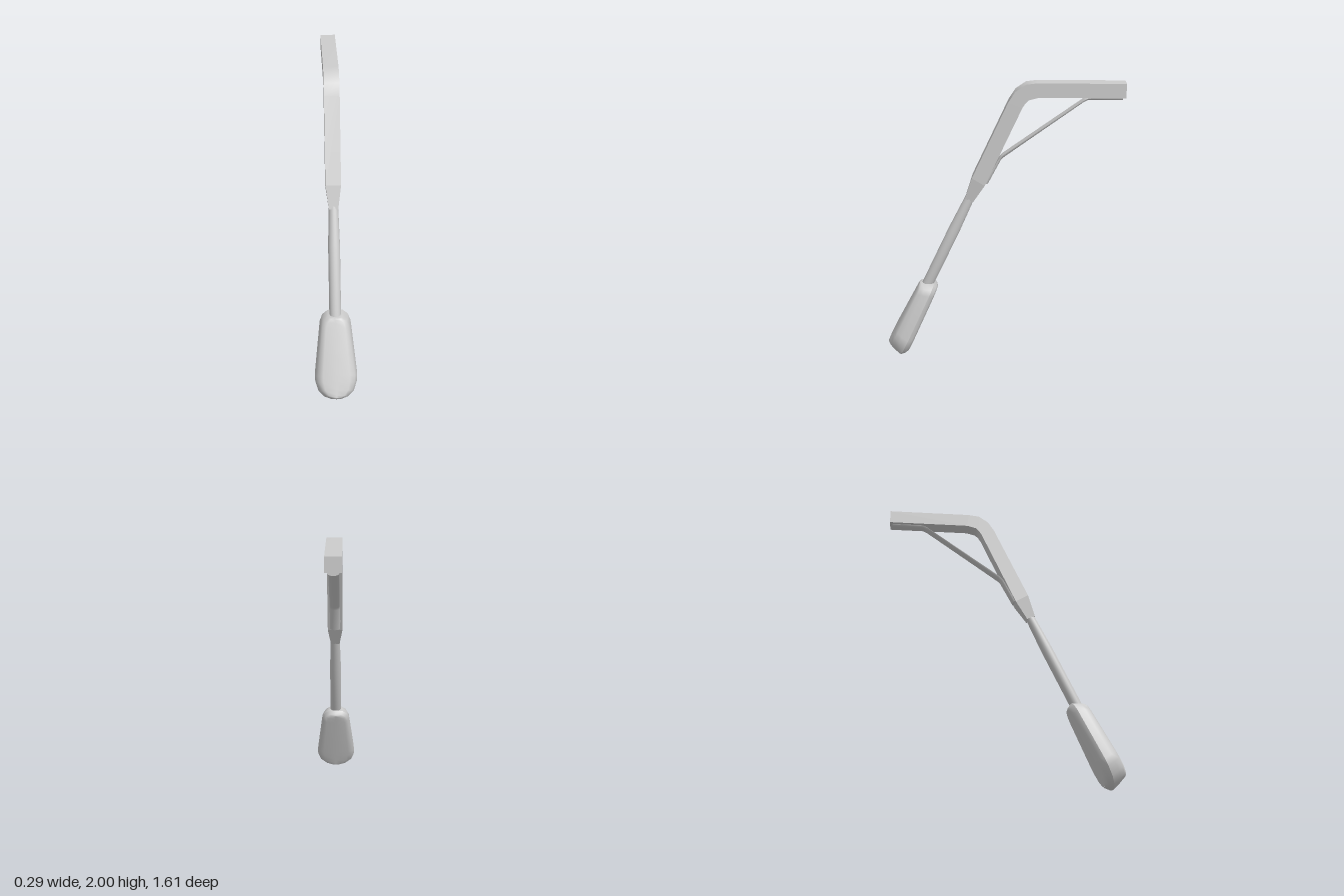
import * as THREE from 'three';
import { mergeVertices, mergeGeometries } from 'three/addons/utils/BufferGeometryUtils.js';

const grey = new THREE.MeshStandardMaterial({ color: 0xcccccc, side: THREE.DoubleSide });
grey.name = 'light grey metal';

// Smooth surface through rows of [x, y, z] points
function skin(rows) {
  const n = rows[0].length, index = [];
  for (let i = 0; i < rows.length - 1; i++) {
    for (let j = 0; j < n - 1; j++) {
      const a = i * n + j, b = a + 1, d = a + n, c = d + 1;
      index.push(a, b, c, a, c, d);
    }
  }
  let g = new THREE.BufferGeometry();
  g.setAttribute('position', new THREE.Float32BufferAttribute(rows.flat(2), 3));
  g.setIndex(index);
  g = mergeVertices(g, 1e-5);
  g.computeVertexNormals();
  return g;
}

function part(name, geometries) {
  const mesh = new THREE.Mesh(mergeGeometries(geometries), grey);
  mesh.name = name;
  return mesh;
}

// Rectangular beam; each station is [outer z, outer y, inner z, inner y, half width]
function beam(stations) {
  const rings = stations.map(([oz, oy, iz, iy, w]) =>
    [[w, oy, oz], [-w, oy, oz], [-w, iy, iz], [w, iy, iz]]);
  const sides = [0, 1, 2, 3].map(k => skin(rings.map(r => [r[k], r[(k + 1) % 4]])));
  const s = rings[0], e = rings[rings.length - 1];
  return [...sides, skin([[s[3], s[2]], [s[0], s[1]]]), skin([[e[0], e[1]], [e[3], e[2]]])];
}

// Half-round strap; each station is [top z, top y, bottom z, bottom y]
function strap(stations, w, steps = 10) {
  const flat = [], arc = [];
  for (const [tz, ty, bz, by] of stations) {
    const f = [], a = [];
    for (let j = 0; j <= steps; j++) {
      const t = Math.PI * j / steps, x = w * Math.cos(t), d = Math.sin(t);
      f.push([x, ty, tz]);
      a.push([x, ty + (by - ty) * d, tz + (bz - tz) * d]);
    }
    flat.push(f);
    arc.push(a);
  }
  const last = stations.length - 1;
  return [skin(flat), skin(arc.map(a => [...a].reverse())),
    skin([arc[0], flat[0]]), skin([flat[last], arc[last]])];
}

// Head outline, half of it: [x, distance down the axis]
const outline = [[0, -0.017], [0.05, -0.012], [0.085, 0.015], [0.103, 0.06], [0.125, 0.26],
  [0.143, 0.43], [0.14, 0.48], [0.12, 0.545], [0.08, 0.587], [0.035, 0.605], [0, 0.608]];

// One inset copy of the outline, sloping from depth n0 at the top to n1 at the bottom
function headRing(scale, u0, u1, n0, n1) {
  const place = side => ([x, u]) => {
    const t = (u + 0.017) / 0.625;
    return [side * x * scale, -(u0 + (u1 - u0) * t), n0 + (n1 - n0) * t];
  };
  return [...outline.map(place(-1)), ...outline.map(place(1)).reverse().slice(1)];
}

export function createModel() {
  const model = new THREE.Group();
  model.name = 'bentArmWithPaddle';

  // Bent square arm and its tapering end
  const neck = [0.183, 1.36, 0.098, 1.308, 0.05];
  model.add(part('arm', beam([
    [-0.803, 2, -0.803, 1.907, 0.05],
    [-0.24, 2, -0.25, 1.907, 0.05],
    [-0.167, 1.99, -0.188, 1.89, 0.05],
    [-0.1, 1.944, -0.165, 1.868, 0.05],
    [-0.056, 1.875, -0.146, 1.838, 0.05],
    neck,
  ])));
  model.add(part('armTaper', beam([neck, [0.232, 1.207, 0.178, 1.184, 0.03]])));

  // Diagonal brace under the bend
  model.add(part('brace', strap([
    [-0.785, 1.903, -0.785, 1.886],
    [-0.57, 1.903, -0.563, 1.886],
    [-0.535, 1.886, -0.53, 1.866],
    [-0.02, 1.515, -0.024, 1.494],
    [0.01, 1.483, -0.008, 1.476],
    [0.096, 1.32, 0.077, 1.312],
  ], 0.035)));

  // Rod and head share one tilted axis
  const lower = new THREE.Group();
  lower.name = 'lowerAssembly';
  lower.position.set(0, 0.57, 0.5);
  lower.rotation.x = -0.438;
  model.add(lower);

  const rodProfile = [[0, -0.03], [0.039, -0.03], [0.039, 0.45], [0.031, 0.71]]
    .map(([r, y]) => new THREE.Vector2(r, y));
  lower.add(part('rod', [new THREE.LatheGeometry(rodProfile, 20)]));

  const rim = headRing(1, -0.017, 0.608, -0.038, -0.042);
  lower.add(part('headFront', [skin([
    rim,
    headRing(0.96, 0.003, 0.588, 0.01, 0.015),
    headRing(0.85, 0.018, 0.57, 0.04, 0.055),
    headRing(0.62, 0.025, 0.562, 0.053, 0.073),
    headRing(0, 0.027, 0.56, 0.055, 0.075),
  ])]));
  lower.add(part('headBack', [skin([
    rim,
    headRing(0.88, -0.003, 0.585, -0.062, -0.067),
    headRing(0.65, 0.007, 0.57, -0.072, -0.082),
    headRing(0, 0.009, 0.568, -0.073, -0.084),
  ].map(r => [...r].reverse()))]));

  return model;
}
